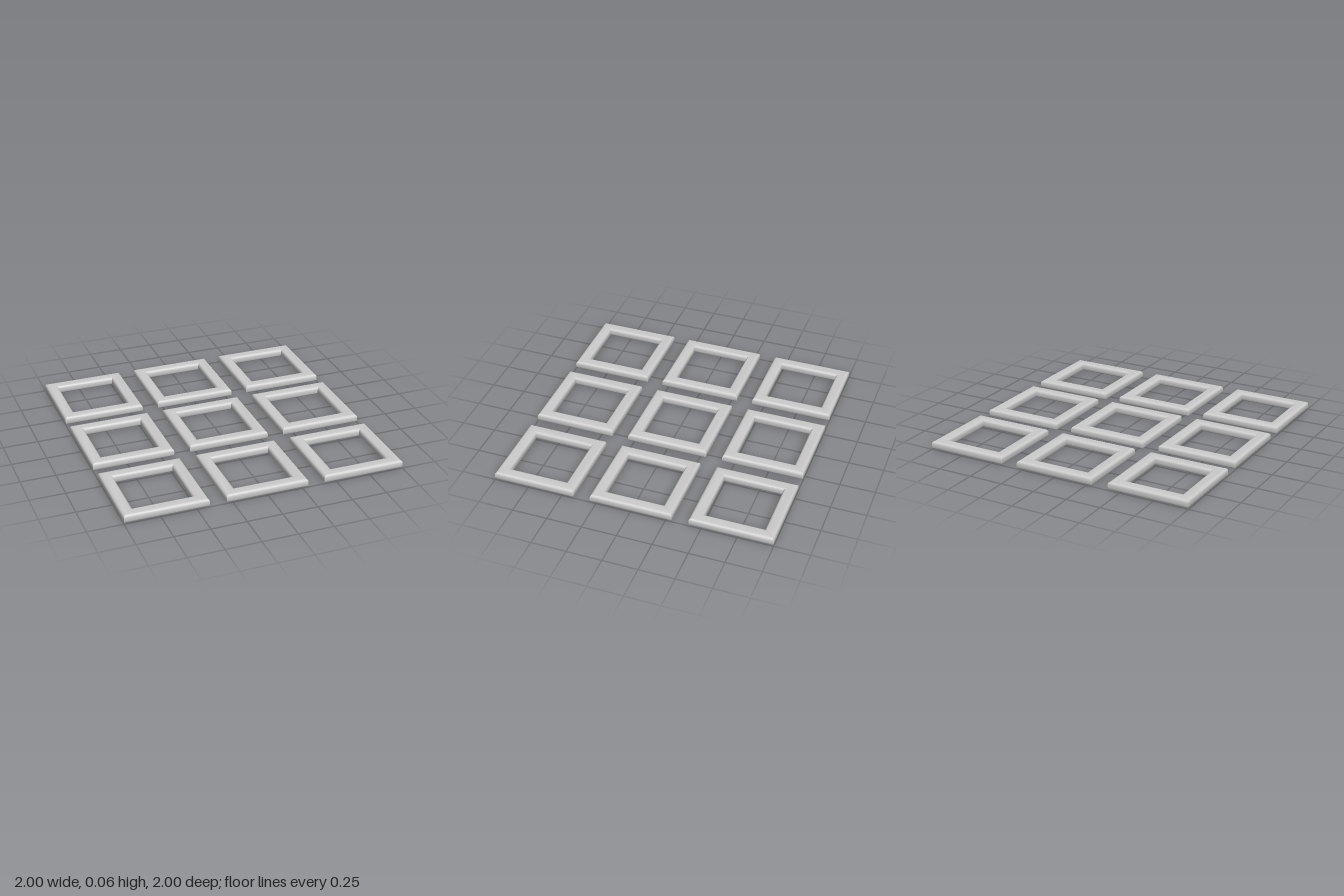
import * as THREE from 'three';
import { toCreasedNormals } from 'three/addons/utils/BufferGeometryUtils.js';

const OUTER = 0.294, INNER = 0.21, HEIGHT = 0.06, ROUND = 0.02, SPACING = 0.706;

// Rounded cross-section of a frame bar, counterclockwise
function barProfile() {
  const s = new THREE.Shape();
  const a = INNER + ROUND, b = OUTER - ROUND, lo = ROUND, hi = HEIGHT - ROUND, q = Math.PI / 2;
  s.absarc(b, lo, ROUND, -q, 0);
  s.absarc(b, hi, ROUND, 0, q);
  s.absarc(a, hi, ROUND, q, 2 * q);
  s.absarc(a, lo, ROUND, 2 * q, 3 * q);
  s.closePath();
  return s.getPoints(2);
}

// Four-sided lathe: the profile swept round a square with mitred corners
function frameGeometry() {
  const points = barProfile().map(p => new THREE.Vector2(p.x * Math.SQRT2, p.y));
  const geometry = new THREE.LatheGeometry(points, 4);
  geometry.rotateY(Math.PI / 4);
  return toCreasedNormals(geometry, 0.5);
}

export function createModel() {
  const model = new THREE.Group();
  model.name = 'frameGrid';
  const material = new THREE.MeshStandardMaterial({ color: 0xcccccc });
  const geometry = frameGeometry();

  // Three by three grid of square frames
  for (let row = -1; row <= 1; row++) {
    for (let col = -1; col <= 1; col++) {
      const frame = new THREE.Mesh(geometry, material);
      frame.name = `squareFrameRow${row + 2}Column${col + 2}`;
      frame.position.set(col * SPACING, 0, row * SPACING);
      model.add(frame);
    }
  }
  return model;
}
